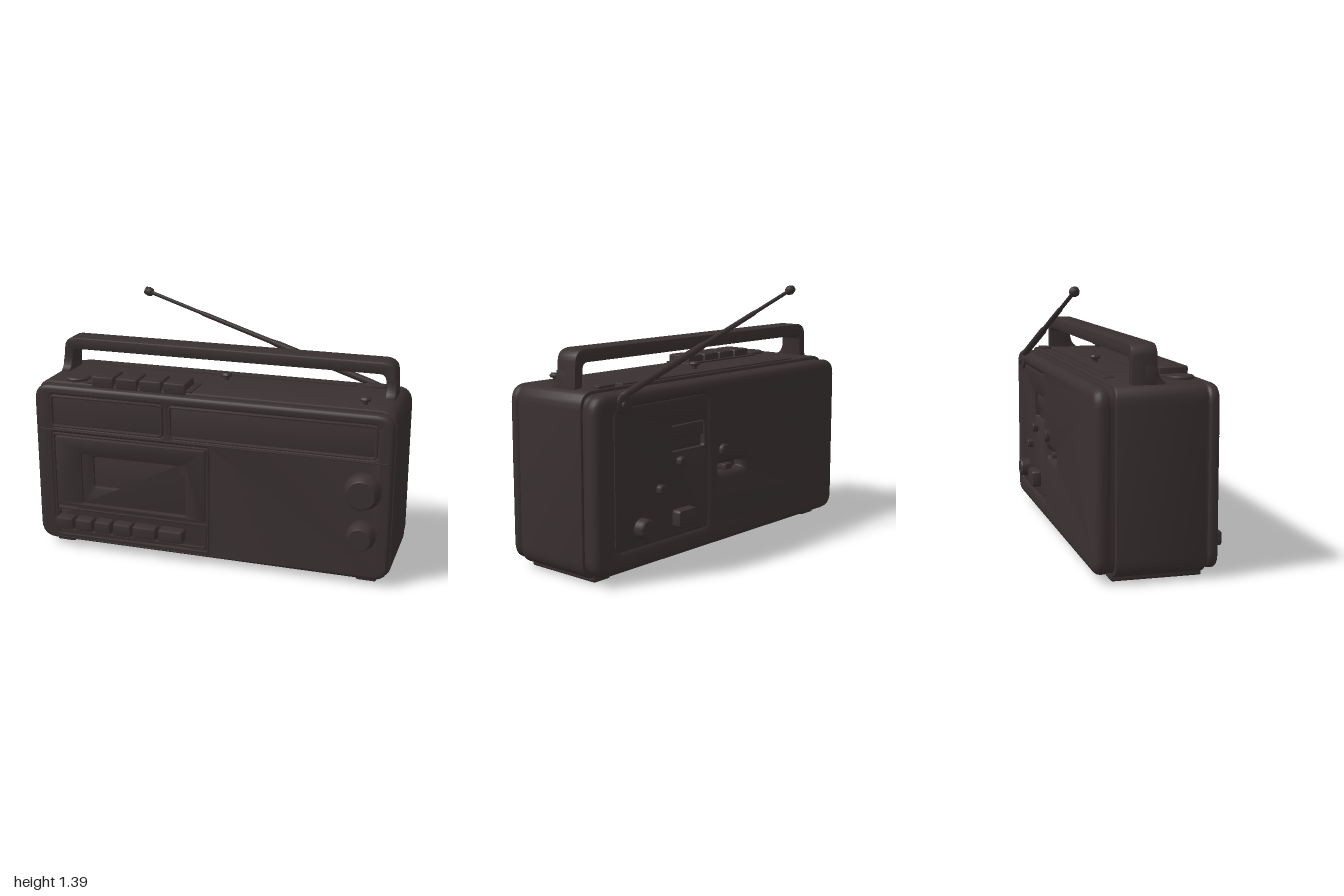
import * as THREE from 'three';
import { toCreasedNormals } from 'three/addons/utils/BufferGeometryUtils.js';

const casing = new THREE.MeshStandardMaterial({ color: 0x393031 });
casing.name = 'charcoal plastic';

// Rounded rectangle outline, usable as a shape or a hole
function rect(x0, x1, y0, y1, r, Type = THREE.Shape) {
  const s = new Type();
  s.moveTo(x0 + r, y0);
  s.lineTo(x1 - r, y0); s.quadraticCurveTo(x1, y0, x1, y0 + r);
  s.lineTo(x1, y1 - r); s.quadraticCurveTo(x1, y1, x1 - r, y1);
  s.lineTo(x0 + r, y1); s.quadraticCurveTo(x0, y1, x0, y1 - r);
  s.lineTo(x0, y0 + r); s.quadraticCurveTo(x0, y0, x0 + r, y0);
  return s;
}
const hole = (x0, x1, y0, y1, r) => rect(x0, x1, y0, y1, r, THREE.Path);

// Extrude a shape between two depths with rounded edges
function extrude(shape, z0, z1, bevel, curveSegments = 6) {
  const g = new THREE.ExtrudeGeometry(shape, {
    depth: z1 - z0 - 2 * bevel, bevelEnabled: bevel > 0, bevelSize: bevel,
    bevelThickness: bevel, bevelOffset: -bevel, bevelSegments: bevel > 0.015 ? 4 : 2, curveSegments,
  });
  g.translate(0, 0, z0 + bevel);
  return toCreasedNormals(g, 0.6);
}

export function createModel() {
  const model = new THREE.Group();
  model.name = 'cassetteRadio';
  const add = (name, geometry, parent = model) => {
    const m = new THREE.Mesh(geometry, casing);
    m.name = name;
    parent.add(m);
    return m;
  };
  const slab = (name, x0, x1, y0, y1, z0, z1, r, bevel, holes = []) => {
    const s = rect(x0, x1, y0, y1, r);
    s.holes.push(...holes);
    return add(name, extrude(s, z0, z1, bevel));
  };
  const frame = (name, x0, x1, y0, y1, z0, z1, w, r = 0.02) =>
    slab(name, x0, x1, y0, y1, z0, z1, r, 0.004, [hole(x0 + w, x1 - w, y0 + w, y1 - w, r * 0.7)]);
  // Turned part; direction: 'x' profile is [radius, height] pairs along the axis
  const turned = (name, profile, x, y, z, rotX) => {
    const g = new THREE.LatheGeometry(profile.map(p => new THREE.Vector2(...p)), 32);
    const m = add(name, toCreasedNormals(g, 0.5));
    m.position.set(x, y, z);
    m.rotation.x = rotX;
    return m;
  };

  // Casing: middle band, front shell and back shell with seams between
  slab('middleBody', -0.995, 0.995, 0.025, 0.95, -0.222, 0.228, 0.09, 0.012);
  slab('seamCore', -0.98, 0.98, 0.045, 0.932, -0.25, 0.25, 0.08, 0);
  slab('frontShell', -0.99, 0.99, 0.036, 0.94, 0.234, 0.292, 0.09, 0.022, [
    hole(-0.885, -0.25, 0.715, 0.88, 0.02), hole(-0.2, 0.9, 0.715, 0.88, 0.02),
    hole(-0.885, 0.01, 0.07, 0.665, 0.015), hole(0.045, 0.72, 0.09, 0.66, 0.06),
  ]);
  slab('backShell', -0.99, 0.99, 0.04, 0.935, -0.32, -0.228, 0.09, 0.04,
    [hole(0.18, 0.85, 0.16, 0.85, 0.04), hole(-0.12, 0.08, 0.425, 0.465, 0.01)]);
  for (const s of [-1, 1]) {
    slab('footRunner', s * 0.865 - 0.055, s * 0.865 + 0.055, 0, 0.05, -0.225, 0.23, 0.012, 0.01);
  }

  // Tuning and label windows
  for (const [x0, x1] of [[-0.895, -0.24], [-0.21, 0.91]]) {
    frame('windowFrame', x0, x1, 0.705, 0.89, 0.27, 0.304, 0.014, 0.025);
    slab('windowPane', x0 + 0.008, x1 - 0.008, 0.712, 0.883, 0.245, 0.287, 0.015, 0.003);
  }
  slab('frontRidge', -0.965, 0.965, 0.683, 0.691, 0.285, 0.297, 0.003, 0.002);

  // Cassette door with a sloped recess around its window
  frame('cassetteBayFrame', -0.89, 0.015, 0.065, 0.672, 0.27, 0.299, 0.012, 0.015);
  slab('cassetteDoor', -0.872, -0.004, 0.25, 0.658, 0.25, 0.305, 0.012, 0.005,
    [hole(-0.72, -0.115, 0.275, 0.565, 0.008)]);
  slab('cassetteRecess', -0.735, -0.1, 0.26, 0.58, 0.24, 0.292, 0.01, 0.012,
    [hole(-0.65, -0.155, 0.38, 0.55, 0.01)]);
  slab('cassetteWindow', -0.66, -0.145, 0.37, 0.56, 0.24, 0.28, 0.01, 0.002);

  // Transport keys
  slab('keyTray', -0.88, 0.005, 0.07, 0.245, 0.24, 0.282, 0.01, 0.003);
  frame('keyTrayFrame', -0.875, 0.0, 0.09, 0.235, 0.27, 0.296, 0.012, 0.012);
  for (const [x0, x1] of [[-0.865, -0.765], [-0.75, -0.65], [-0.635, -0.54],
    [-0.525, -0.42], [-0.41, -0.275], [-0.26, -0.12]]) {
    slab('transportKey', x0, x1, 0.125, 0.195, 0.26, 0.355, 0.012, 0.009);
  }

  // Speaker grille: perforations inside a rounded square
  const grille = rect(0.04, 0.725, 0.085, 0.665, 0.06);
  const step = 0.0325;
  for (let i = -9.5; i <= 9.5; i++) {
    for (let j = -7.5; j <= 7.5; j++) {
      if ((Math.abs(i) / 10.3) ** 5 + (Math.abs(j) / 8.3) ** 5 > 1) continue;
      const p = new THREE.Path();
      p.absarc(0.385 + i * step, 0.375 + j * step, 0.0085, 0, Math.PI * 2, true);
      grille.holes.push(p);
    }
  }
  add('speakerGrille', extrude(grille, 0.262, 0.289, 0, 2));

  // Front knobs
  for (const [y, r] of [[0.533, 0.095], [0.288, 0.075]]) {
    turned('knobCollar', [[r + 0.006, 0], [r + 0.006, 0.012], [r - 0.005, 0.014]], 0.845, y, 0.287, Math.PI / 2);
    turned('frontKnob', [[r, 0], [r, 0.03], [r * 0.94, 0.045], [r * 0.82, 0.076], [r * 0.76, 0.083], [0, 0.083]],
      0.845, y, 0.286, Math.PI / 2);
  }

  // Top controls
  slab('topKeyPanel', -0.71, -0.1, 0.945, 0.958, 0.06, 0.225, 0.003, 0.002);
  for (let i = 0; i < 4; i++) {
    const x = -0.67 + i * 0.137;
    slab('topKey', x, x + 0.125, 0.93, 0.996, 0.085, 0.238, 0.012, 0.01);
  }
  turned('topDial', [[0.07, 0], [0.07, 0.018], [0.062, 0.025], [0, 0.025]], -0.785, 0.942, 0.155, 0);
  for (const [x, z] of [[0, -0.07], [0.81, 0.15]]) {
    turned('topButton', [[0.013, 0], [0.013, 0.02], [0.028, 0.025], [0.03, 0.035], [0.022, 0.045], [0, 0.048]],
      x, 0.945, z, 0);
  }
  slab('topSwitchPlate', 0.75, 0.86, 0.94, 0.962, -0.212, -0.155, 0.004, 0.003);
  slab('topRearStrip', -0.7, 0.7, 0.944, 0.957, -0.21, -0.15, 0.004, 0.002);

  // Carry handle arch and its flared feet
  const arch = new THREE.Shape();
  arch.moveTo(-0.945, 0.93);
  arch.lineTo(-0.937, 1.08); arch.quadraticCurveTo(-0.932, 1.135, -0.87, 1.137);
  arch.lineTo(0.87, 1.137); arch.quadraticCurveTo(0.932, 1.135, 0.937, 1.08);
  arch.lineTo(0.945, 0.93); arch.lineTo(0.893, 0.93);
  arch.lineTo(0.886, 1.04); arch.quadraticCurveTo(0.882, 1.07, 0.85, 1.07);
  arch.lineTo(-0.85, 1.07); arch.quadraticCurveTo(-0.882, 1.07, -0.886, 1.04);
  arch.lineTo(-0.893, 0.93);
  add('carryHandle', extrude(arch, -0.132, -0.003, 0.009));
  const flare = new THREE.Shape();
  flare.moveTo(-0.06, 0.93); flare.lineTo(0.036, 0.93); flare.lineTo(0.032, 0.955);
  flare.quadraticCurveTo(0.0, 0.97, -0.004, 1.03); flare.lineTo(-0.06, 1.03);
  for (const x of [0.943, -0.893]) {
    const foot = add('handleFoot', extrude(flare, 0, 0.05, 0.003));
    foot.rotation.y = -Math.PI / 2;
    foot.position.x = x;
  }

  // Telescopic antenna leaning to the model's right
  const antenna = new THREE.Group();
  antenna.name = 'antenna';
  const base = new THREE.Vector3(0.79, 0.922, -0.311);
  const tip = new THREE.Vector3(-0.54, 1.36, -0.309);
  const dir = tip.clone().sub(base), len = dir.length();
  const rod = [[0, -0.02], [0.016, -0.02], [0.019, 0.03], [0.019, len * 0.42], [0.014, len * 0.46], [0.013, len * 0.75],
    [0.01, len * 0.77], [0.01, len - 0.03], [0.022, len - 0.02], [0.026, len], [0.02, len + 0.022], [0, len + 0.027]];
  add('antennaRod', new THREE.LatheGeometry(rod.map(p => new THREE.Vector2(...p)), 20), antenna);
  antenna.position.copy(base);
  antenna.quaternion.setFromUnitVectors(new THREE.Vector3(0, 1, 0), dir.normalize());
  model.add(antenna);
  turned('antennaPivot', [[0.05, 0], [0.05, 0.022], [0.04, 0.028], [0, 0.028]], 0.8, 0.88, -0.3, -Math.PI / 2);
  turned('antennaScrew', [[0.016, 0], [0.016, 0.02], [0, 0.022]], 0.81, 0.878, -0.322, -Math.PI / 2);

  // Rear connector panel with a recessed compartment
  slab('rearPanel', 0.17, 0.86, 0.15, 0.86, -0.313, -0.235, 0.03, 0.003, [hole(0.2, 0.45, 0.59, 0.73, 0.01)]);
  slab('compartmentFloor', 0.19, 0.46, 0.58, 0.74, -0.285, -0.24, 0.005, 0.002);
  slab('compartmentBar', 0.2, 0.45, 0.65, 0.72, -0.303, -0.26, 0.005, 0.004);
  turned('rearKnob', [[0.052, 0], [0.05, 0.05], [0.044, 0.058], [0, 0.058]], 0.68, 0.245, -0.308, -Math.PI / 2);
  slab('rearSocket', 0.31, 0.45, 0.2, 0.292, -0.364, -0.3, 0.02, 0.012);
  for (const [x, y, r] of [[0.545, 0.417, 0.026], [0.394, 0.537, 0.026], [0.055, 0.545, 0.034]]) {
    turned('rearButton', [[r, 0], [r, 0.032], [r * 0.8, 0.037], [0, 0.037]], x, y, -0.307, -Math.PI / 2);
  }
  slab('rearSlide', -0.03, 0.03, 0.43, 0.46, -0.315, -0.24, 0.004, 0.003);

  return model;
}
